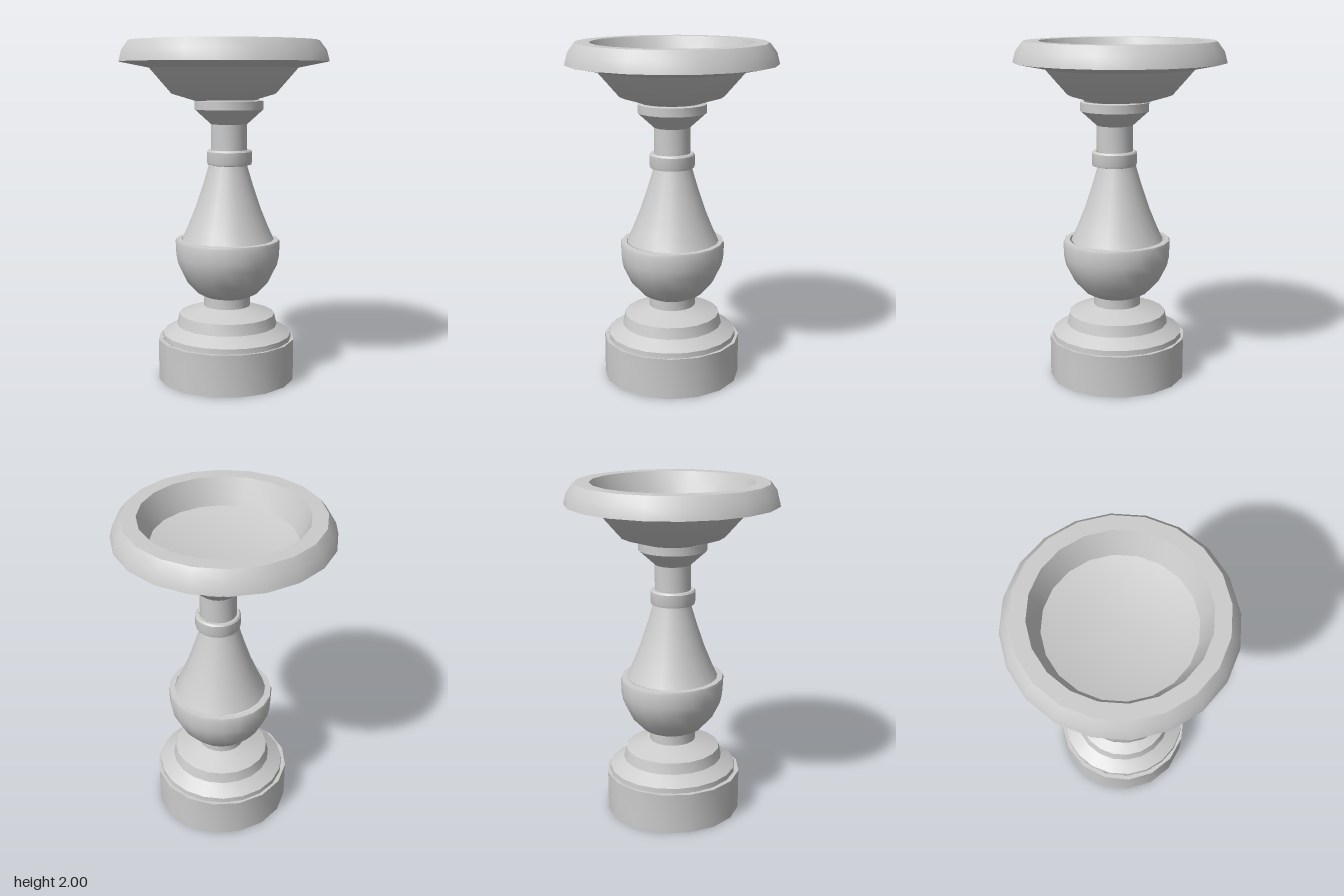
import * as THREE from 'three';
import { toCreasedNormals } from 'three/addons/utils/BufferGeometryUtils.js';

const material = new THREE.MeshStandardMaterial({ color: 0xcccccc, side: THREE.DoubleSide });

// Turned part: profile of [radius, height], lower end first, about a slightly offset axis
function turned(name, profile, sides, x, z, stretchZ = 1) {
  const points = profile.map(([r, y]) => new THREE.Vector2(r, y));
  const geometry = toCreasedNormals(new THREE.LatheGeometry(points, sides), 0.62);
  const mesh = new THREE.Mesh(geometry, material);
  mesh.name = name;
  mesh.position.set(x, 0, z);
  mesh.scale.z = stretchZ;
  return mesh;
}

export function createModel() {
  const group = new THREE.Group();
  group.name = 'birdBath';

  group.add(
    // Hollow plinth, open underneath
    turned('plinth', [[0.407, 0], [0.407, 0.245], [0.38, 0.245]], 16, 0.007, 0.018),

    // Stepped foot and short neck
    turned('steppedFoot', [
      [0.382, 0.245], [0.38, 0.275], [0.297, 0.325], [0.282, 0.39], [0.138, 0.44], [0.138, 0.5],
    ], 20, 0.011, 0.02, 1.02),

    // Rounded bulb with a narrow shoulder
    turned('bulb', [
      [0.135, 0.497], [0.18, 0.52], [0.245, 0.592], [0.292, 0.69], [0.302, 0.74],
      [0.306, 0.825], [0.301, 0.84], [0.27, 0.842],
    ], 20, 0.014, 0.022, 1.04),

    // Tapering vase
    turned('vase', [
      [0.272, 0.84], [0.24, 0.91], [0.195, 1.02], [0.148, 1.16], [0.118, 1.26], [0.11, 1.29],
    ], 20, 0.017, 0.022),

    // Collar ring
    turned('collarRing', [
      [0.106, 1.28], [0.128, 1.285], [0.132, 1.3], [0.132, 1.36], [0.124, 1.37], [0.106, 1.37],
    ], 20, 0.018, 0.036),

    // Upper neck flaring to the bowl support
    turned('upperNeck', [
      [0.106, 1.37], [0.106, 1.52], [0.2, 1.605], [0.2, 1.655], [0.18, 1.66],
    ], 20, 0.017, 0.033),

    // Bowl: underside, rim, inner wall and shallow floor
    turned('bowl', [
      [0.17, 1.655], [0.304, 1.695], [0.435, 1.845], [0.613, 1.88], [0.596, 1.945],
      [0.555, 2], [0.468, 2], [0.406, 1.85], [0.28, 1.82], [0, 1.805],
    ], 20, 0, 0),
  );

  return group;
}
